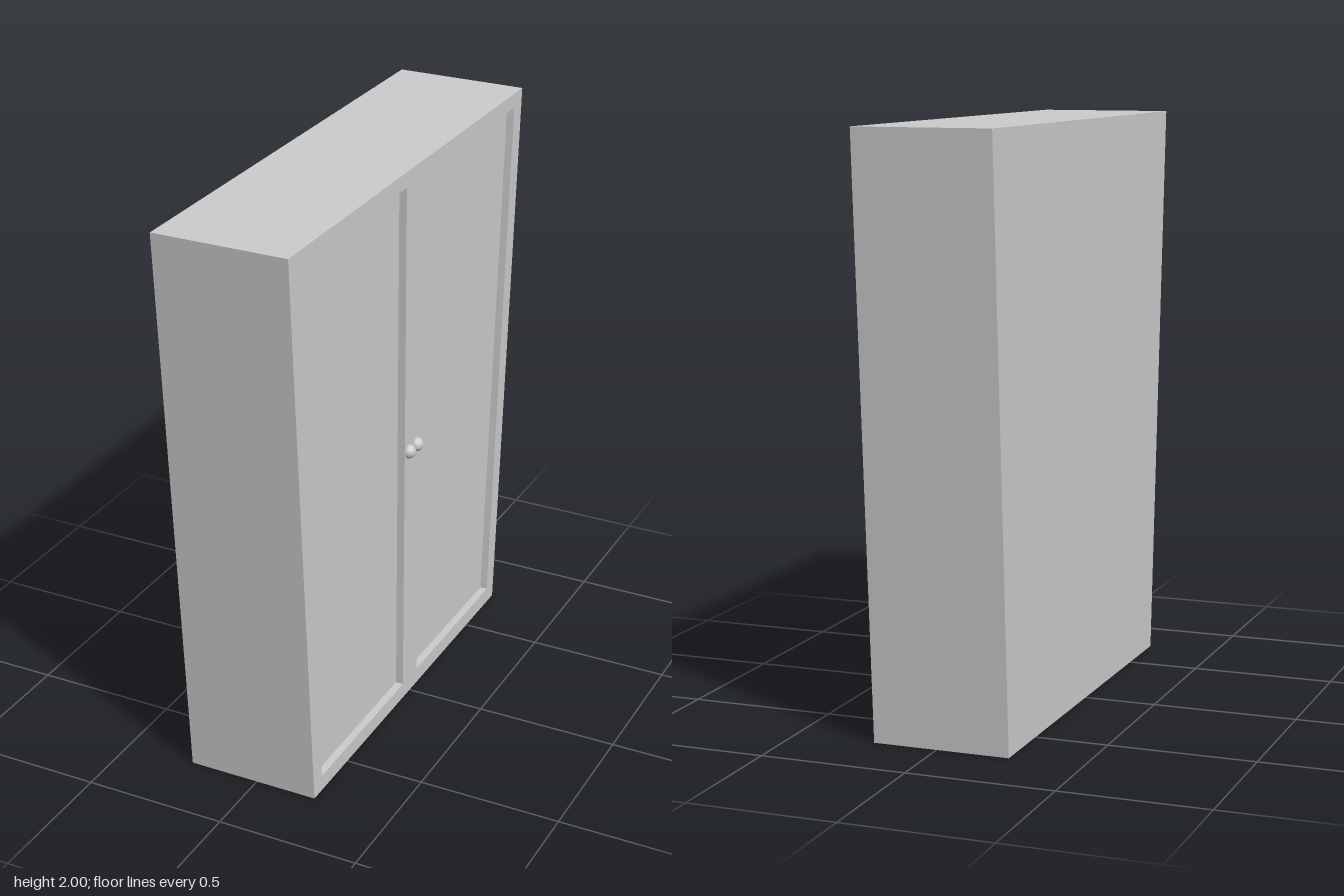
import * as THREE from 'three';

const BACK = -0.25, FRONT = 0.22, RECESS = 0.027;

export function createModel() {
  const group = new THREE.Group();
  const material = new THREE.MeshStandardMaterial({ color: 0xcccccc });

  const add = (name, geometry) => {
    const mesh = new THREE.Mesh(geometry, material);
    mesh.name = name;
    group.add(mesh);
    return mesh;
  };
  const points = (list) => list.map(([z, y]) => new THREE.Vector2(z, y));
  // Extrude a width/height outline along +x between two depths
  const slab = (shape, x0, x1) =>
    new THREE.ExtrudeGeometry(shape, { depth: x1 - x0, bevelEnabled: false })
      .rotateY(Math.PI / 2)
      .translate(x0, 0, 0);

  // Tapered outline, wider at the top
  const outline = () => new THREE.Shape(points([[-0.745, 0], [0.745, 0], [0.88, 2], [-0.88, 2]]));

  // Solid carcass; its front forms the floor of the sunken door panels
  add('carcass', slab(outline(), BACK, FRONT - RECESS));

  // Door frame with two mirrored panel openings
  const frame = outline();
  for (const s of [-1, 1]) {
    frame.holes.push(new THREE.Path(points([
      [0.057 * s, 0.057], [0.69 * s, 0.057], [0.812 * s, 1.947], [0.067 * s, 1.947],
    ])));
  }
  add('doorFrame', slab(frame, FRONT - RECESS, FRONT));

  // Round knobs either side of the centre line
  for (const [name, s] of [['leftKnob', -1], ['rightKnob', 1]]) {
    add(name, new THREE.SphereGeometry(0.025, 24, 16)).position.set(FRONT, 0.98, 0.03 * s);
  }

  return group;
}
